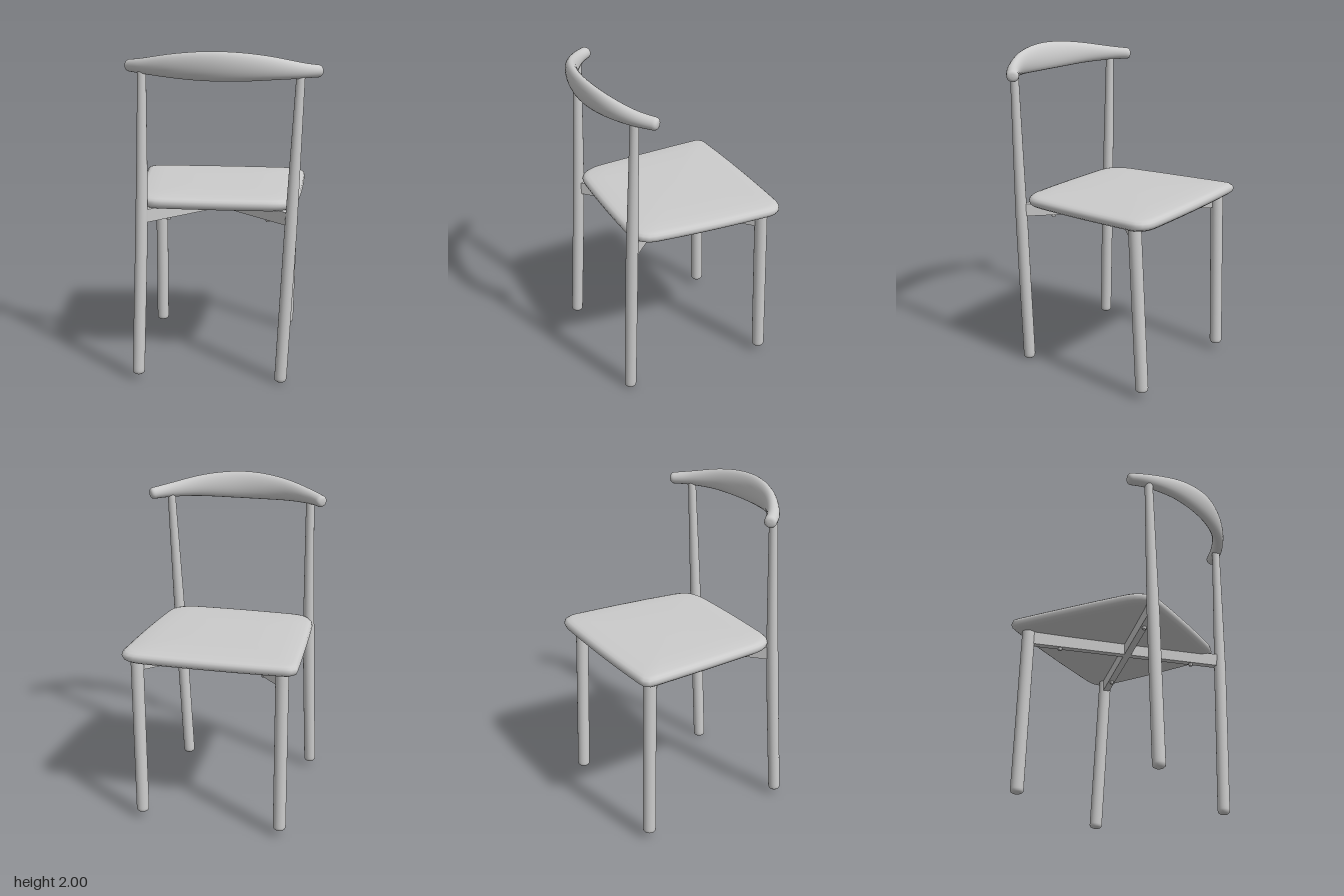
import * as THREE from 'three';

const V = (x, y, z) => new THREE.Vector3(x, y, z);
const material = new THREE.MeshStandardMaterial({ color: 0xcccccc, side: THREE.DoubleSide });

// Skin a list of equally sized closed rings of points
function skin(rings) {
  const n = rings[0].length, index = [];
  for (let i = 0; i < rings.length - 1; i++) {
    for (let j = 0; j < n; j++) {
      const a = i * n + j, b = i * n + (j + 1) % n;
      index.push(a, b, b + n, a, b + n, a + n);
    }
  }
  const geo = new THREE.BufferGeometry().setFromPoints(rings.flat());
  geo.setIndex(index);
  geo.computeVertexNormals();
  return geo;
}

// Rod with a varying elliptical section; size(t) gives [half width, half height, tilt]
function rod(points, size, up, endRound, steps = 40, sides = 24) {
  const curve = new THREE.CatmullRomCurve3(points);
  const length = curve.getLength(), rings = [];
  for (let i = 0; i <= steps; i++) {
    // closer rings towards the rounded ends
    const t = (1 - Math.cos(Math.PI * i / steps)) / 2;
    const p = curve.getPointAt(t), dir = curve.getTangentAt(t);
    const side = dir.clone().cross(up).normalize();
    const top = side.clone().cross(dir).normalize();
    const [w, h, tilt] = size(t);
    const d = Math.min(1, Math.min(t, 1 - t) * length / endRound);
    const cap = Math.pow(Math.max(0, 1 - (1 - d) ** 2), 0.3);
    rings.push(Array.from({ length: sides }, (_, j) => {
      const a = j / sides * Math.PI * 2;
      const u = Math.cos(a) * w * cap, v = Math.sin(a) * h * cap;
      return p.clone()
        .addScaledVector(side, u * Math.cos(tilt) - v * Math.sin(tilt))
        .addScaledVector(top, u * Math.sin(tilt) + v * Math.cos(tilt));
    }));
  }
  return skin(rings);
}

// Cushion: rounded four-sided outline, swept through a pillow profile
function seatGeometry() {
  const s = new THREE.Shape();
  s.moveTo(-0.585, -0.46);
  s.quadraticCurveTo(-0.60, -0.525, -0.54, -0.533);
  s.quadraticCurveTo(-0.1, -0.575, 0.36, -0.58);
  s.quadraticCurveTo(0.475, -0.58, 0.475, -0.48);
  s.quadraticCurveTo(0.48, -0.05, 0.452, 0.27);
  s.quadraticCurveTo(0.44, 0.375, 0.29, 0.388);
  s.quadraticCurveTo(0, 0.41, -0.36, 0.41);
  s.quadraticCurveTo(-0.49, 0.41, -0.512, 0.27);
  s.quadraticCurveTo(-0.55, -0.05, -0.585, -0.46);
  const outline = s.getSpacedPoints(96).slice(0, -1);
  const cx = -0.05, cz = -0.08;
  const profile = [
    [0, 1.05], [0.5, 1.05], [0.88, 1.053], [0.95, 1.06], [0.985, 1.073], [1, 1.093],
    [0.99, 1.11], [0.965, 1.121], [0.92, 1.128], [0.75, 1.135], [0.4, 1.138], [0, 1.139],
  ];
  return skin(profile.map(([k, y]) => outline.map((p) => {
    const x = cx + (p.x - cx) * k, z = cz + (p.y - cz) * k;
    return V(x, y - 0.008 * z - 0.008 * x, z);
  })).reverse());
}

export function createModel() {
  const group = new THREE.Group();
  const add = (name, geo) => {
    const mesh = new THREE.Mesh(geo, material);
    mesh.name = name;
    group.add(mesh);
    return mesh;
  };

  add('seat', seatGeometry());

  // Tall legs carrying the back rail, tapering to the top
  const tall = (t) => {
    const r = t < 0.5 ? 0.037 : 0.037 - 0.012 * (t - 0.5) * 2;
    return [r, r, 0];
  };
  add('tallLegRight', rod([V(-0.49, 0.035, 0.462), V(-0.46, 1, 0.418), V(-0.446, 1.89, 0.388)],
    tall, V(0, 0, 1), 0.02));
  add('tallLegLeft', rod([V(0.373, 0, 0.411), V(0.423, 1, 0.402), V(0.464, 1.87, 0.388)],
    tall, V(0, 0, 1), 0.02));

  // Short legs ending under the seat
  const short = () => [0.039, 0.039, 0];
  add('shortLegRight', rod([V(-0.498, 0.04, -0.468), V(-0.488, 1.08, -0.447)], short, V(0, 0, 1), 0.02));
  add('shortLegLeft', rod([V(0.374, 0.04, -0.502), V(0.398, 1.08, -0.457)], short, V(0, 0, 1), 0.02));

  // Curved back rail, tall in the middle and slim at the ends
  add('backRail', rod([
    V(-0.545, 1.893, 0.295), V(-0.44, 1.9, 0.39), V(-0.24, 1.912, 0.494), V(0.02, 1.916, 0.535),
    V(0.28, 1.905, 0.49), V(0.46, 1.885, 0.397), V(0.575, 1.872, 0.295),
  ], (t) => {
    const k = Math.sin(Math.PI * t) ** 1.6;
    return [0.037 + 0.002 * k, 0.036 + 0.049 * k, -0.15 * k];
  }, V(0, 1, 0), 0.025, 64));

  // Crossed braces under the seat, with small screws
  const braces = [
    [[-0.46, 0.418], [0.398, -0.457]],
    [[0.423, 0.402], [-0.488, -0.447]],
  ];
  braces.forEach(([a, b], i) => {
    const dx = b[0] - a[0], dz = b[1] - a[1];
    const brace = add('brace' + (i + 1), new THREE.BoxGeometry(Math.hypot(dx, dz), 0.078, 0.042));
    brace.position.set((a[0] + b[0]) / 2, 1.02, (a[1] + b[1]) / 2);
    brace.rotation.y = -Math.atan2(dz, dx);
    for (const t of [0.16, 0.84]) {
      const screw = add('screw', new THREE.CylinderGeometry(0.014, 0.011, 0.02, 12));
      screw.position.set(a[0] + dx * t, 0.975, a[1] + dz * t);
    }
  });

  return group;
}
